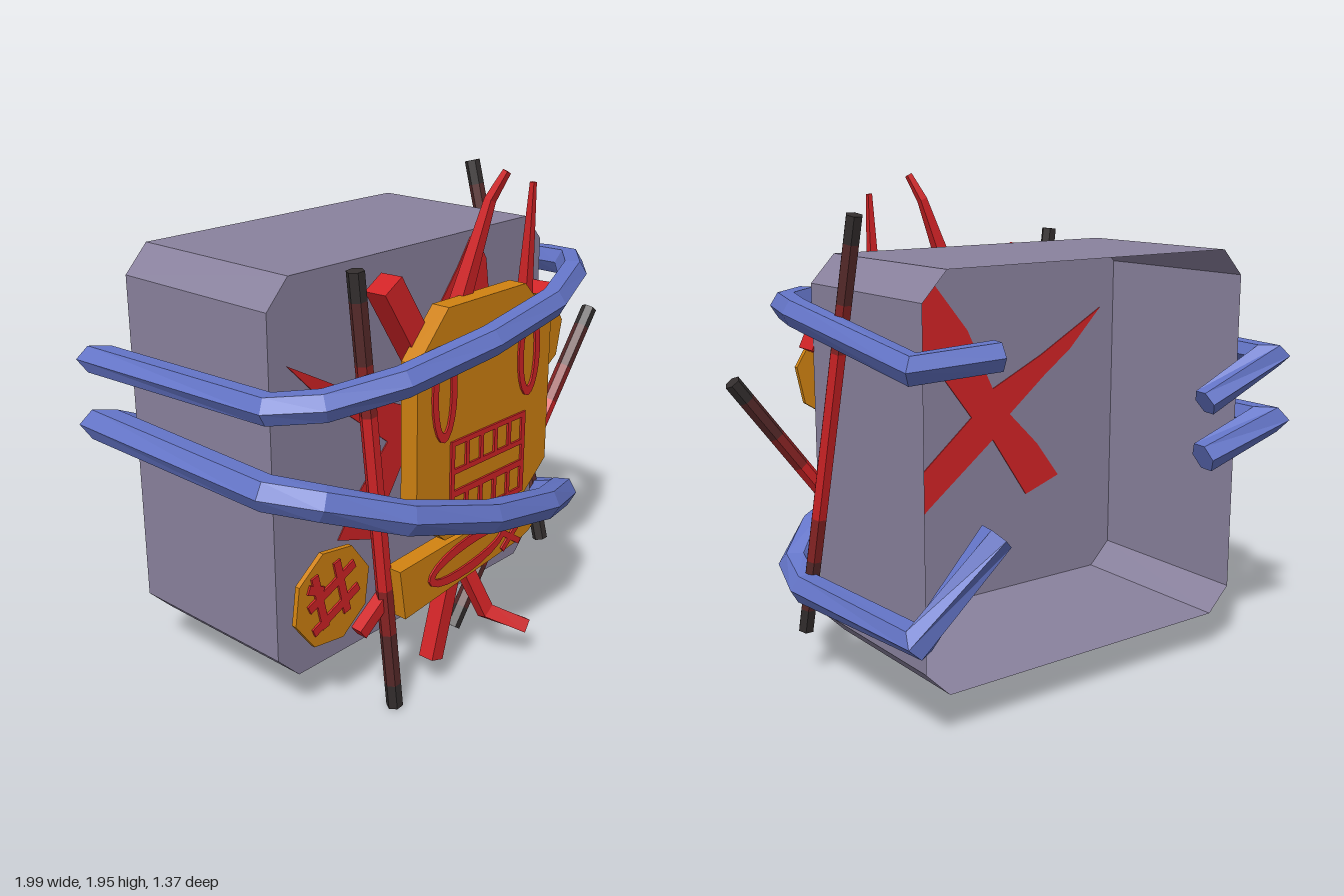
import * as THREE from 'three';

const flat = (name, color, side = THREE.FrontSide) => {
  const m = new THREE.MeshStandardMaterial({ color, flatShading: true, side });
  m.name = name;
  return m;
};

export function createModel() {
  const root = new THREE.Group();
  const grey = flat('slateShell', 0x8a829e, THREE.DoubleSide);
  const blue = flat('blueBand', 0x6475c8);
  const orange = flat('orangePlate', 0xd08211);
  const red = flat('red', 0xd12326);
  const maroon = flat('maroon', 0x8a2424);
  const brown = flat('darkBrown', 0x572a2a);
  const black = flat('charTip', 0x332e2e);

  const add = (name, geo, mat) => {
    const m = new THREE.Mesh(geo, mat);
    m.name = name;
    root.add(m);
    return m;
  };
  const toShape = pts => new THREE.Shape(pts.map(p => new THREE.Vector2(p[0], p[1])));
  const plate = (name, shape, z, depth, mat) => {
    const g = new THREE.ExtrudeGeometry(shape, { depth, bevelEnabled: false, curveSegments: 10 });
    return add(name, g.translate(0, 0, z), mat);
  };

  // Sweep a regular cross-section along a polyline, with mitred corners and caps
  function sweep(path, radii, sides, ref, offset = 0) {
    const pts = path.map(p => new THREE.Vector3(...p));
    const n = pts.length, pos = [];
    const rings = pts.map((p, i) => {
      const a = pts[Math.min(i + 1, n - 1)].clone().sub(pts[Math.min(i, n - 2)]).normalize();
      const b = pts[Math.max(i, 1)].clone().sub(pts[Math.max(i - 1, 0)]).normalize();
      const t = a.clone().add(b).normalize();
      const s = ref.clone().cross(t).normalize(), u = t.clone().cross(s);
      const r = Array.isArray(radii) ? radii[i] : radii;
      const mitre = 1 / Math.max(0.65, t.dot(a));
      return Array.from({ length: sides }, (_, j) => {
        const k = offset + j / sides * Math.PI * 2;
        return p.clone().addScaledVector(s, r * mitre * Math.cos(k)).addScaledVector(u, r * Math.sin(k));
      });
    });
    const tri = (...v) => v.forEach(q => pos.push(q.x, q.y, q.z));
    for (let j = 0; j < sides; j++) {
      const k = (j + 1) % sides;
      for (let i = 0; i < n - 1; i++) {
        tri(rings[i][j], rings[i][k], rings[i + 1][k]);
        tri(rings[i][j], rings[i + 1][k], rings[i + 1][j]);
      }
      tri(pts[0], rings[0][k], rings[0][j]);
      tri(pts[n - 1], rings[n - 1][j], rings[n - 1][k]);
    }
    const g = new THREE.BufferGeometry();
    g.setAttribute('position', new THREE.Float32BufferAttribute(pos, 3));
    g.computeVertexNormals();
    return g;
  }
  const Y = new THREE.Vector3(0, 1, 0), Z = new THREE.Vector3(0, 0, 1);

  // Hollow shell: chamfered outline, closed at the front and open at the back
  const outline = [[-0.75, 0.17], [0.56, 0.17], [0.66, 0.27], [0.66, 1.57],
    [0.56, 1.675], [-0.75, 1.675], [-0.85, 1.57], [-0.85, 0.27]];
  add('shellFront', new THREE.ShapeGeometry(toShape(outline)).translate(0, 0, 0.22), grey);
  const wall = [];
  outline.forEach(([x, y], i) => {
    const [u, v] = outline[(i + 1) % outline.length], f = 0.22, b = -0.53;
    wall.push(x, y, f, x, y, b, u, v, b, x, y, f, u, v, b, u, v, f);
  });
  const wallGeo = new THREE.BufferGeometry();
  wallGeo.setAttribute('position', new THREE.Float32BufferAttribute(wall, 3));
  wallGeo.computeVertexNormals();
  add('shellWalls', wallGeo, grey);

  // Painted cross, seen on both faces of the shell front
  plate('paintedCross', toShape([[0.55, 0.48], [0.56, 0.28], [0.42, 0.37], [0.15, 0.6], [-0.18, 0.85],
    [-0.36, 0.58], [-0.54, 0.64], [-0.42, 0.8], [-0.27, 0.95], [-0.46, 1.1], [-0.6, 1.2], [-0.77, 1.37],
    [-0.66, 1.31], [-0.44, 1.19], [-0.18, 1.07], [-0.05, 1.33], [0.13, 1.55], [0.2, 1.65],
    [0.24, 1.64], [0.3, 1.55], [0.32, 1.42], [0.1, 1.18], [-0.07, 0.96], [0.2, 0.74]]), 0.2155, 0.009, red);

  // Orange face, jaw and two small discs
  plate('face', toShape([[-0.29, 0.65], [0.15, 0.65], [0.32, 0.79], [0.32, 1.36], [0.15, 1.53],
    [-0.29, 1.53], [-0.45, 1.36], [-0.45, 0.79]]), 0.45, 0.075, orange);
  plate('jaw', toShape([[-0.5, 0.41], [0.18, 0.48], [0.24, 0.5], [0.32, 0.56], [0.24, 0.645],
    [-0.1, 0.635], [-0.53, 0.61]]), 0.45, 0.07, orange);
  const discs = [['leftDisc', 0.495, 1.205, 0.18], ['rightDisc', -0.675, 0.505, 0.25]];
  for (const [name, x, y, turn] of discs) {
    const g = new THREE.CylinderGeometry(0.192, 0.192, 0.02, 8).rotateX(Math.PI / 2).rotateZ(turn);
    add(name, g.translate(x, y, 0.32), orange);
  }

  // Painted rings and strokes
  const ring = (name, x, y, rx, ry, w, z, tilt = 0) => {
    const s = new THREE.Shape().absellipse(x, y, rx, ry, 0, Math.PI * 2, false, tilt);
    s.holes.push(new THREE.Path().absellipse(x, y, rx - w, ry - w * 1.2, 0, Math.PI * 2, true, tilt));
    plate(name, s, z, 0.008, red);
  };
  const stroke = (name, x0, y0, x1, y1, w, z) => {
    const g = new THREE.BoxGeometry(Math.hypot(x1 - x0, y1 - y0), w, 0.008);
    g.rotateZ(Math.atan2(y1 - y0, x1 - x0));
    add(name, g.translate((x0 + x1) / 2, (y0 + y1) / 2, z + 0.004), red);
  };
  ring('eye', -0.31, 1.22, 0.066, 0.18, 0.03, 0.525);
  ring('eye', 0.18, 1.26, 0.066, 0.17, 0.03, 0.525);
  ring('jawEye', -0.15, 0.54, 0.23, 0.075, 0.032, 0.52, 0.12);
  stroke('jawCross', 0.05, 0.56, 0.17, 0.48, 0.025, 0.52);
  stroke('jawCross', 0.06, 0.48, 0.16, 0.56, 0.025, 0.52);
  ring('discEye', 0.425, 1.24, 0.036, 0.06, 0.016, 0.33, -0.15);
  ring('discEye', 0.52, 1.26, 0.036, 0.06, 0.016, 0.33, -0.15);
  ring('discMouth', 0.47, 1.135, 0.1, 0.032, 0.015, 0.33, 0.1);
  for (const [a, b, c, d] of [[-0.77, 0.62, -0.72, 0.4], [-0.66, 0.64, -0.61, 0.42],
    [-0.8, 0.5, -0.57, 0.6], [-0.78, 0.4, -0.55, 0.5], [-0.8, 0.58, -0.73, 0.55]])
    stroke('discHatch', a, b, c, d, 0.034, 0.33);

  // Mouth: two rows of teeth with a gap between
  const mouth = toShape([[-0.27, 0.7], [0.17, 0.7], [0.17, 1.03], [-0.27, 1.03]]);
  const cut = (x0, y0, x1, y1) => mouth.holes.push(new THREE.Path(
    [[x0, y0], [x0, y1], [x1, y1], [x1, y0]].map(p => new THREE.Vector2(...p))));
  for (let i = 0; i < 5; i++)
    for (const y of [0.72, 0.92]) cut(-0.25 + i * 0.083, y, -0.186 + i * 0.083, y + 0.09);
  cut(-0.25, 0.835, 0.15, 0.9);
  plate('mouth', mouth, 0.525, 0.008, red);

  // Blue bands wrapped round the shell, hooked at the back
  const upper = [[-0.62, 1.09, -0.58], [-0.93, 1.25, -0.62], [-0.91, 1.27, 0.28], [-0.8, 1.29, 0.43],
    [-0.54, 1.33, 0.54], [-0.14, 1.39, 0.59], [0.27, 1.44, 0.56], [0.56, 1.48, 0.45],
    [0.71, 1.48, 0.33], [0.745, 1.47, 0.18], [0.74, 1.37, -0.59], [0.43, 1.39, -0.64]];
  const lower = [[-0.62, 0.87, -0.58], [-0.93, 0.99, -0.62], [-0.935, 0.98, 0.28], [-0.82, 0.95, 0.43],
    [-0.54, 0.84, 0.56], [-0.14, 0.72, 0.61], [0.27, 0.62, 0.57], [0.56, 0.54, 0.45],
    [0.71, 0.45, 0.33], [0.745, 0.4, 0.18], [0.735, 0.44, -0.6], [0.43, 0.76, -0.63]];
  add('upperBand', sweep(upper, 0.057, 6, Y), blue);
  add('lowerBand', sweep(lower, 0.064, 6, Y), blue);

  // Burnt sticks, dark at the ends and red in the middle
  const zones = [[0, 0.06, black], [0.06, 0.19, brown], [0.19, 0.3, maroon], [0.3, 0.7, red],
    [0.7, 0.81, maroon], [0.81, 0.94, brown], [0.94, 1, black]];
  const sticks = [[[-0.65, 1.71, 0.43], [-0.48, 0.01, 0.45]],
    [[0.695, 1.84, -0.17], [0.715, 0.2, 0.25]], [[0.07, 0.04, 0.275], [0.97, 1.22, 0.275]]];
  for (const [a, b] of sticks)
    for (const [f, t, mat] of zones) {
      const at = k => a.map((v, i) => v + (b[i] - v) * k);
      add('stick', sweep([at(f), at(t)], 0.032, 6, Z), mat);
    }

  // Red spikes and bent bars behind the face
  const bars = [
    ['topSpike', [[-0.16, 1.4, 0.43], [0.0, 1.85, 0.465], [0.04, 1.95, 0.505]], [0.045, 0.022, 0.016]],
    ['topSpike', [[0.245, 1.2, 0.44], [0.255, 1.88, 0.465]], [0.042, 0.013]],
    ['topBlock', [[-0.49, 1.63, 0.405], [-0.14, 1.05, 0.43]], 0.068],
    ['bottomSpike', [[-0.285, 0.13, 0.46], [-0.13, 0.6, 0.45]], 0.046],
    ['bottomSpike', [[-0.16, 0.3, 0.41], [-0.15, 0.65, 0.42]], 0.038],
    ['bentLeg', [[-0.13, 0.6, 0.39], [0.01, 0.22, 0.49], [0.13, 0.145, 0.6]], 0.038],
    ['sideBar', [[-0.65, 0.385, 0.43], [-0.42, 0.56, 0.44]], 0.034],
    ['bentArm', [[0.15, 1.08, 0.44], [0.32, 1.2, 0.28], [0.65, 1.36, 0.262]], [0.04, 0.05, 0.068]],
  ];
  for (const [name, path, r] of bars) add(name, sweep(path, r, 4, Z, Math.PI / 4), red);
  return root;
}
